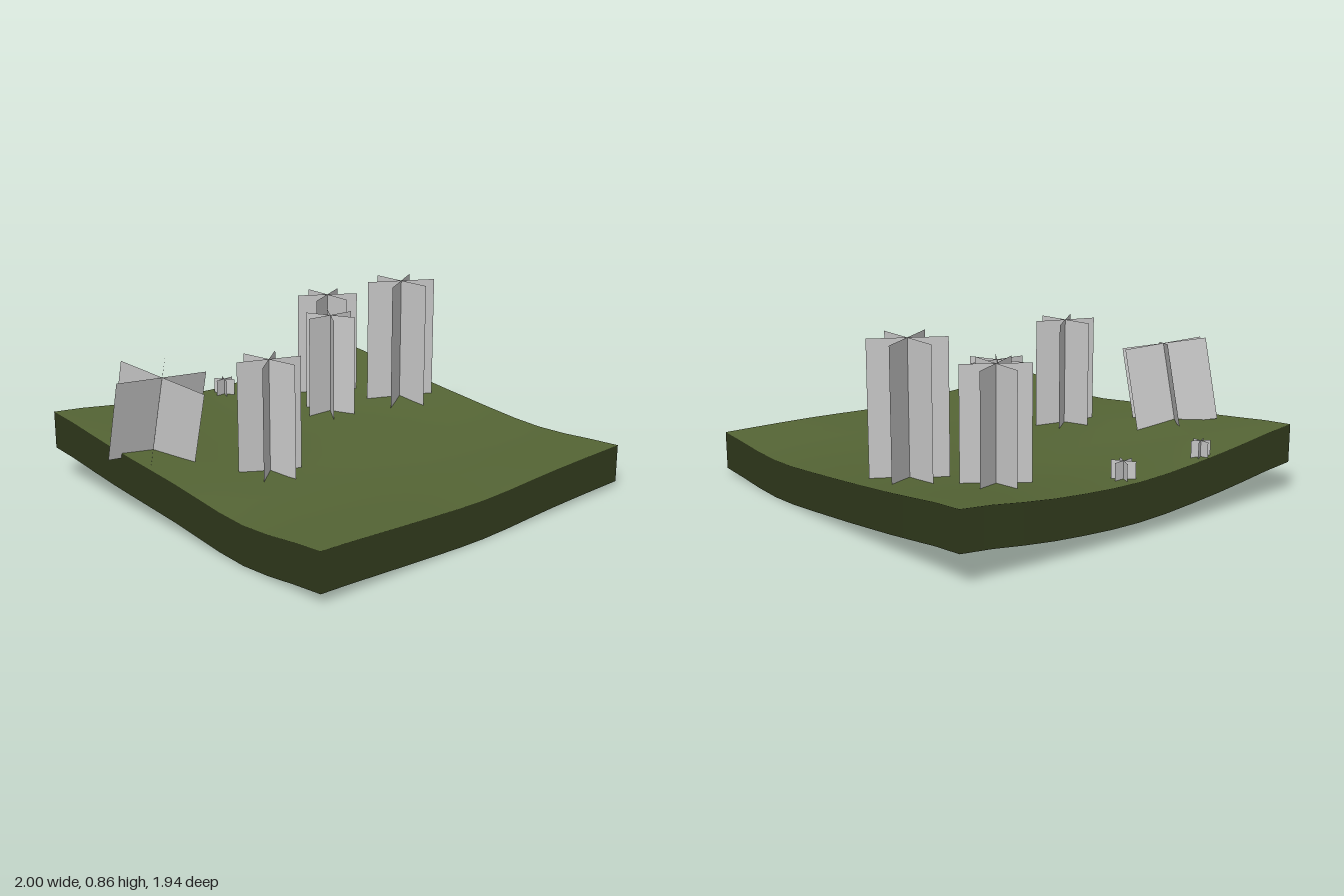
import * as THREE from 'three';

const X0 = -0.935, X1 = 1, Z0 = 0.97, Z1 = -0.97, SEG = 12, DEPTH = 0.185;

// Coarse ground heights: rows run front to back, columns left to right
const HEIGHTS = [
  [0.245, 0.22, 0.2, 0.217, 0.225],
  [0.205, 0.2, 0.192, 0.193, 0.2],
  [0.255, 0.225, 0.215, 0.22, 0.24],
  [0.3, 0.255, 0.228, 0.248, 0.295],
  [0.355, 0.3, 0.268, 0.295, 0.355],
];

// Catmull-Rom through evenly spaced values, t in 0..1
function spline(v, t) {
  const n = v.length - 1, i = Math.min(Math.floor(t * n), n - 1), f = t * n - i;
  const a = v[Math.max(i - 1, 0)], b = v[i], c = v[i + 1], d = v[Math.min(i + 2, n)];
  return b + 0.5 * f * (c - a + f * (2 * a - 5 * b + 4 * c - d + f * (3 * (b - c) + d - a)));
}
const heightAt = (u, w) => spline(HEIGHTS.map((row) => spline(row, u)), w);

// Rolling sheet with a skirt hanging from its rim; the skirt keeps the rim's normals
function groundGeometry() {
  const pos = [], index = [], n = SEG + 1;
  for (let j = 0; j <= SEG; j++) {
    for (let i = 0; i <= SEG; i++) {
      const u = i / SEG, w = j / SEG;
      pos.push(X0 + (X1 - X0) * u, heightAt(u, w), Z0 + (Z1 - Z0) * w);
      if (i < SEG && j < SEG) {
        const a = j * n + i;
        index.push(a, a + 1, a + n + 1, a, a + n + 1, a + n);
      }
    }
  }
  const sheet = new THREE.BufferGeometry();
  sheet.setAttribute('position', new THREE.Float32BufferAttribute(pos, 3));
  sheet.setIndex(index);
  sheet.computeVertexNormals();
  const nor = Array.from(sheet.attributes.normal.array);

  // Rim in order: front, right, back, left
  const rim = [];
  for (let i = 0; i < SEG; i++) rim.push(i);
  for (let j = 0; j < SEG; j++) rim.push(j * n + SEG);
  for (let i = SEG; i > 0; i--) rim.push(SEG * n + i);
  for (let j = SEG; j > 0; j--) rim.push(j * n);
  const base = n * n;
  rim.forEach((v, k) => {
    pos.push(pos[v * 3], pos[v * 3 + 1] - DEPTH, pos[v * 3 + 2]);
    nor.push(nor[v * 3], nor[v * 3 + 1], nor[v * 3 + 2]);
    const m = (k + 1) % rim.length;
    index.push(base + k, base + m, rim[m], base + k, rim[m], v);
  });
  const g = new THREE.BufferGeometry();
  g.setAttribute('position', new THREE.Float32BufferAttribute(pos, 3));
  g.setAttribute('normal', new THREE.Float32BufferAttribute(nor, 3));
  g.setIndex(index);
  return g;
}

// Plant made of three upright sheets crossing on one axis
function crossedPlant(name, p, material) {
  const plant = new THREE.Group();
  plant.name = name;
  const h = p.top - p.base;
  const sheet = new THREE.PlaneGeometry(p.width, h).translate(0, h / 2, 0);
  for (let k = 0; k < 3; k++) {
    const fin = new THREE.Mesh(sheet, material);
    fin.name = 'foliageSheet';
    fin.rotation.y = THREE.MathUtils.degToRad(p.turn + k * 60);
    plant.add(fin);
  }
  plant.position.set(p.x, p.base, p.z);
  plant.rotation.x = THREE.MathUtils.degToRad(p.tilt || 0);
  return plant;
}

export function createModel() {
  const grass = new THREE.MeshStandardMaterial({ color: 0x556535, side: THREE.DoubleSide });
  grass.name = 'grassGreen';
  const grey = new THREE.MeshStandardMaterial({ color: 0xc8c8c8, side: THREE.DoubleSide });
  grey.name = 'paleGrey';

  const model = new THREE.Group();
  model.name = 'grassyTile';
  const ground = new THREE.Mesh(groundGeometry(), grass);
  ground.name = 'ground';
  model.add(ground);

  // Tall trees
  [
    { x: 0.505, z: -0.567, base: 0.23, top: 0.785, width: 0.315, turn: 27 },
    { x: 0.74, z: -0.255, base: 0.235, top: 0.875, width: 0.355, turn: 30 },
    { x: 0.335, z: -0.358, base: 0.212, top: 0.74, width: 0.27, turn: -5 },
    { x: -0.45, z: 0.09, base: 0.212, top: 0.75, width: 0.305, turn: 39 },
    { x: -0.775, z: -0.375, base: 0.26, top: 0.66, width: 0.455, turn: -9, tilt: 14 },
  ].forEach((p) => model.add(crossedPlant('tree', p, grey)));

  // Small bushes along the back edge
  [
    { x: 0.05, z: -0.88, base: 0.255, top: 0.345, width: 0.11, turn: 5 },
    { x: -0.385, z: -0.92, base: 0.285, top: 0.365, width: 0.09, turn: 30 },
  ].forEach((p) => model.add(crossedPlant('bush', p, grey)));

  return model;
}
